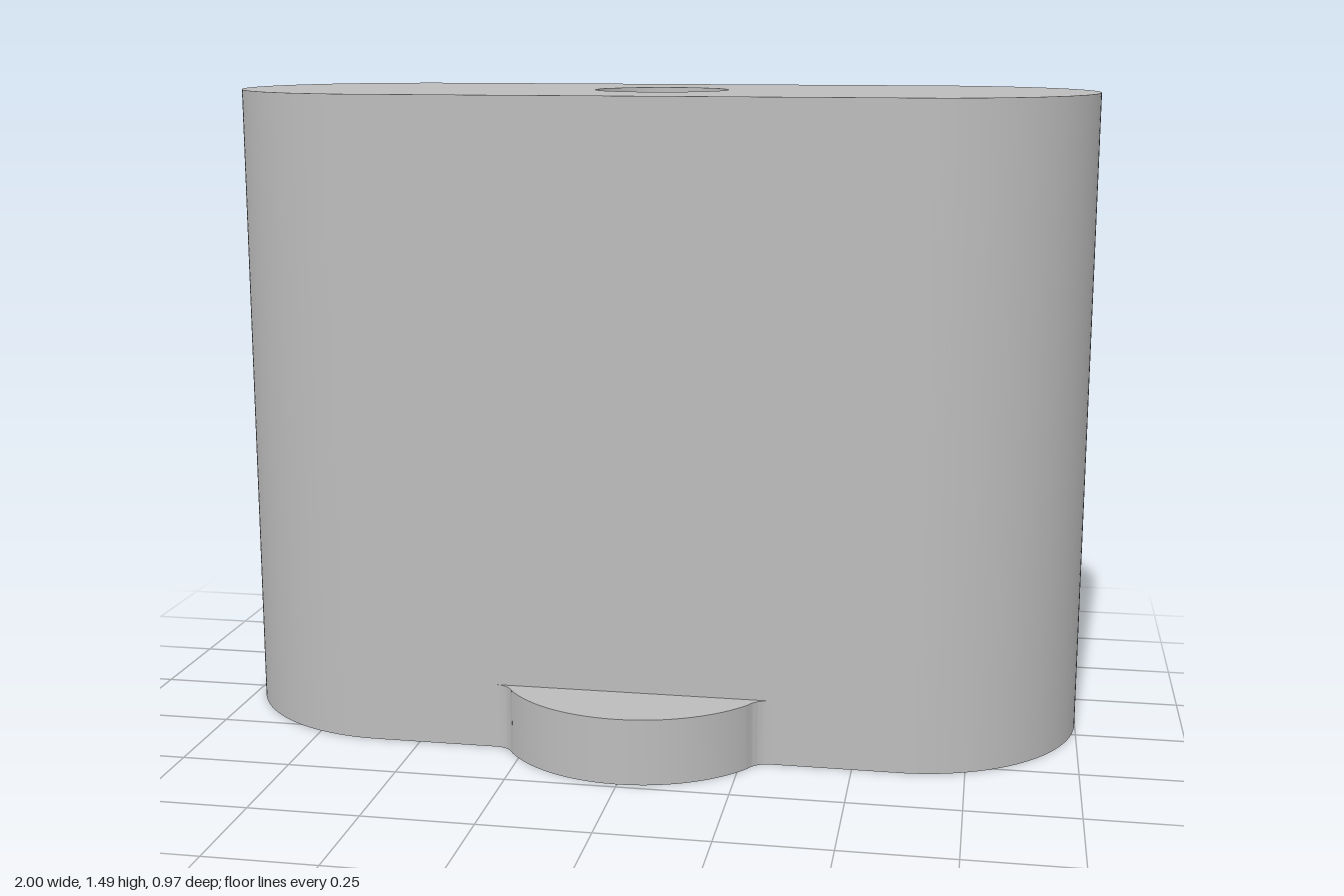
import * as THREE from 'three';
import { toCreasedNormals } from 'three/addons/utils/BufferGeometryUtils.js';

const HEIGHT = 1.485, RADIUS = 0.3975, HALF_STRAIGHT = 0.6025, CENTER_Z = -0.0875;
const HOLE = 0.155, BORE = 0.285, BORE_DEPTH = 0.75;
const SEGMENTS = 40, CREASE = 0.5;

// Stadium outline, optionally pierced by a round hole
function stadium(hole) {
  const s = new THREE.Shape();
  s.moveTo(-HALF_STRAIGHT, -RADIUS);
  s.lineTo(HALF_STRAIGHT, -RADIUS);
  s.absarc(HALF_STRAIGHT, 0, RADIUS, -Math.PI / 2, Math.PI / 2, false);
  s.lineTo(-HALF_STRAIGHT, RADIUS);
  s.absarc(-HALF_STRAIGHT, 0, RADIUS, Math.PI / 2, Math.PI * 1.5, false);
  if (hole) s.holes.push(new THREE.Path().absarc(0, 0, hole, 0, Math.PI * 2, true));
  return s;
}

// Side walls of an extrusion, without its caps
function wallOnly(shape, depth) {
  const full = new THREE.ExtrudeGeometry(shape, { depth, bevelEnabled: false, curveSegments: SEGMENTS });
  const { start, count } = full.groups[1];
  const wall = new THREE.BufferGeometry();
  wall.setAttribute('position', new THREE.BufferAttribute(
    full.attributes.position.array.slice(start * 3, (start + count) * 3), 3));
  return wall;
}

export function createModel() {
  const model = new THREE.Group();
  model.name = 'block';
  const grey = new THREE.MeshStandardMaterial({ color: 0xbcbcbc });
  grey.name = 'grey';

  const add = (parent, name, geometry) => {
    const mesh = new THREE.Mesh(geometry, grey);
    mesh.name = name;
    parent.add(mesh);
  };

  // Main body: outer wall, end faces and stepped bore
  const body = new THREE.Group();
  body.name = 'body';
  body.position.z = CENTER_Z;
  model.add(body);

  add(body, 'outerWall', toCreasedNormals(wallOnly(stadium(), HEIGHT).rotateX(-Math.PI / 2), CREASE));
  add(body, 'topFace', new THREE.ShapeGeometry(stadium(HOLE), SEGMENTS)
    .rotateX(-Math.PI / 2).translate(0, HEIGHT, 0));
  add(body, 'bottomFace', new THREE.ShapeGeometry(stadium(BORE), SEGMENTS).rotateX(Math.PI / 2));

  // Narrow hole at the top opening into a wider bore below
  const profile = [[HOLE, HEIGHT], [HOLE, BORE_DEPTH], [BORE, BORE_DEPTH], [BORE, 0]]
    .map(([r, y]) => new THREE.Vector2(r, y));
  add(body, 'steppedBore', toCreasedNormals(new THREE.LatheGeometry(profile, SEGMENTS * 2), CREASE));

  // Rounded tab at the foot of the front, with small fillets into the body
  const tab = new THREE.Shape();
  const angle = Math.atan2(0.19, 0.27);
  tab.moveTo(-0.32, 0.31);
  tab.quadraticCurveTo(-0.285, 0.31, -0.27, 0.345);
  tab.absarc(0, 0.155, 0.33, Math.PI - angle, angle, true);
  tab.quadraticCurveTo(0.285, 0.31, 0.32, 0.31);
  const tabGeometry = new THREE.ExtrudeGeometry(tab, { depth: 0.15, bevelEnabled: false, curveSegments: 24 });
  add(model, 'frontTab', toCreasedNormals(tabGeometry.rotateX(Math.PI / 2).translate(0, 0.15, 0), CREASE));

  return model;
}
